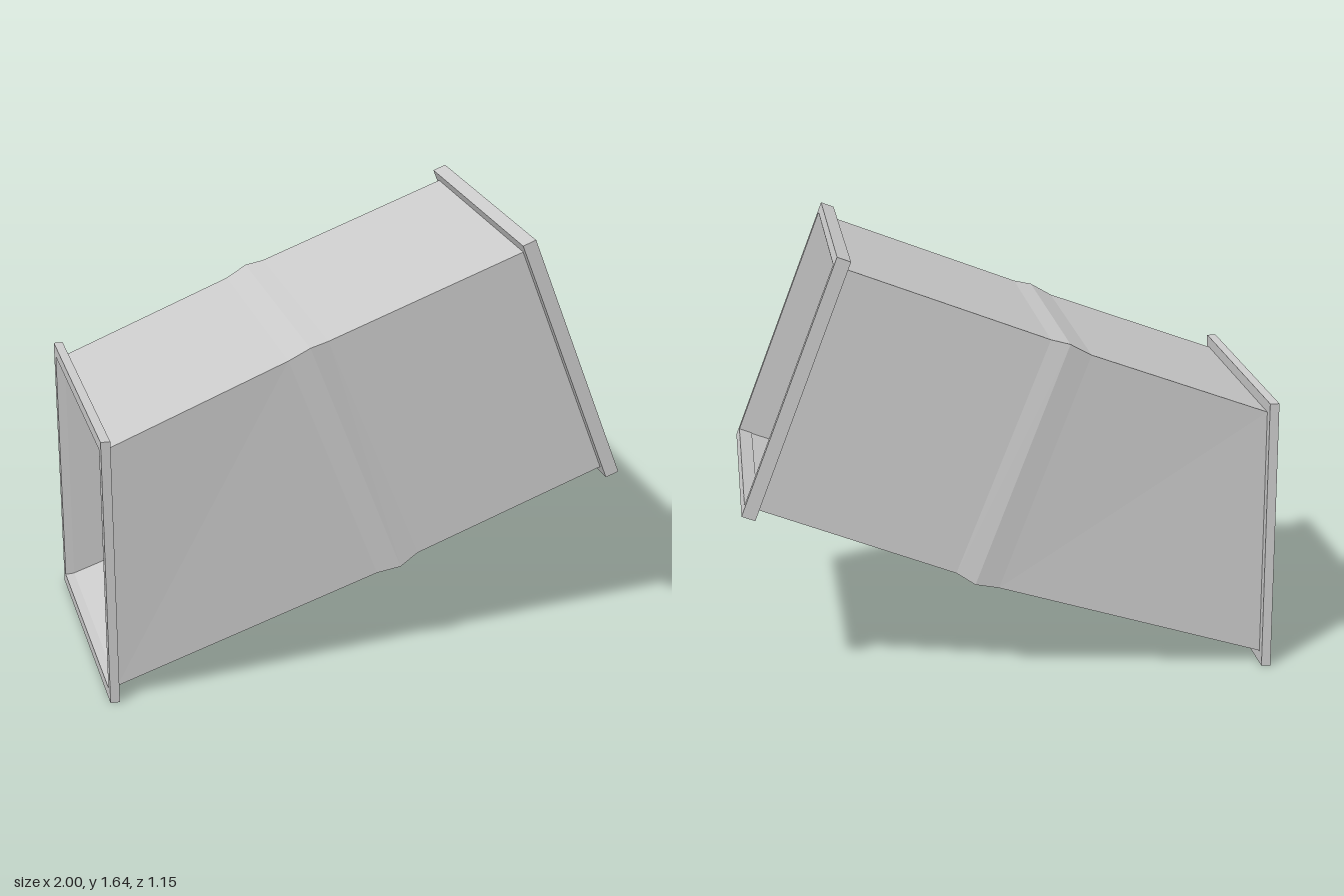
import * as THREE from 'three';

const metal = new THREE.MeshStandardMaterial({ color: 0xcccccc, flatShading: true, side: THREE.DoubleSide });

// Rectangle path centred on the origin
function rect(path, w, h) {
  path.moveTo(-w / 2, -h / 2);
  path.lineTo(w / 2, -h / 2);
  path.lineTo(w / 2, h / 2);
  path.lineTo(-w / 2, h / 2);
  path.closePath();
  return path;
}

// Rectangular frame whose depth runs along +x
function flange(name, w, h, innerW, innerH, depth) {
  const shape = rect(new THREE.Shape(), w, h);
  shape.holes.push(rect(new THREE.Path(), innerW, innerH));
  const geo = new THREE.ExtrudeGeometry(shape, { depth, bevelEnabled: false });
  geo.rotateY(Math.PI / 2);
  const mesh = new THREE.Mesh(geo, metal);
  mesh.name = name;
  return mesh;
}

// Open rectangular tube lofted through the sections
// [topX, topY, bottomX, bottomY, backZ, frontZ]
function loft(sections) {
  const rings = sections.map(([tx, ty, bx, by, zb, zf]) => [
    [bx, by, zf], [tx, ty, zf], [tx, ty, zb], [bx, by, zb],
  ]);
  const pos = [];
  for (let i = 0; i < rings.length - 1; i++) {
    for (let k = 0; k < 4; k++) {
      const n = (k + 1) % 4;
      const a = rings[i][k], b = rings[i + 1][k], c = rings[i + 1][n], d = rings[i][n];
      pos.push(...a, ...b, ...c, ...a, ...c, ...d);
    }
  }
  const geo = new THREE.BufferGeometry();
  geo.setAttribute('position', new THREE.Float32BufferAttribute(pos, 3));
  geo.computeVertexNormals();
  return geo;
}

export function createModel() {
  const group = new THREE.Group();
  group.name = 'ductElbow';

  // Thin-walled duct: offset lower run, raised joint bead, straight upper run
  const duct = new THREE.Mesh(loft([
    [-1.0, 0.998, -1.0, 0.045, -0.49, 0.533],
    [-0.965, 0.998, -0.965, 0.047, -0.49, 0.533],
    [-0.29, 1.25, 0.05, 0.365, -0.54, 0.485],
    [-0.21, 1.295, 0.14, 0.385, -0.55, 0.495],
    [-0.14, 1.312, 0.21, 0.43, -0.54, 0.485],
    [0.597, 1.591, 0.937, 0.706, -0.54, 0.485],
    [0.646, 1.61, 0.986, 0.725, -0.54, 0.485],
  ]), metal);
  duct.name = 'duct';
  group.add(duct);

  // Upright lower flange
  const lower = flange('lowerFlange', 1.105, 1.04, 1.023, 0.953, 0.035);
  lower.position.set(-1, 0.52, 0.022);
  group.add(lower);

  // Tilted upper flange
  const upper = flange('upperFlange', 1.095, 1.018, 1.025, 0.948, 0.053);
  upper.position.set(0.766, 1.15, -0.0275);
  upper.rotation.z = THREE.MathUtils.degToRad(21);
  group.add(upper);

  return group;
}
